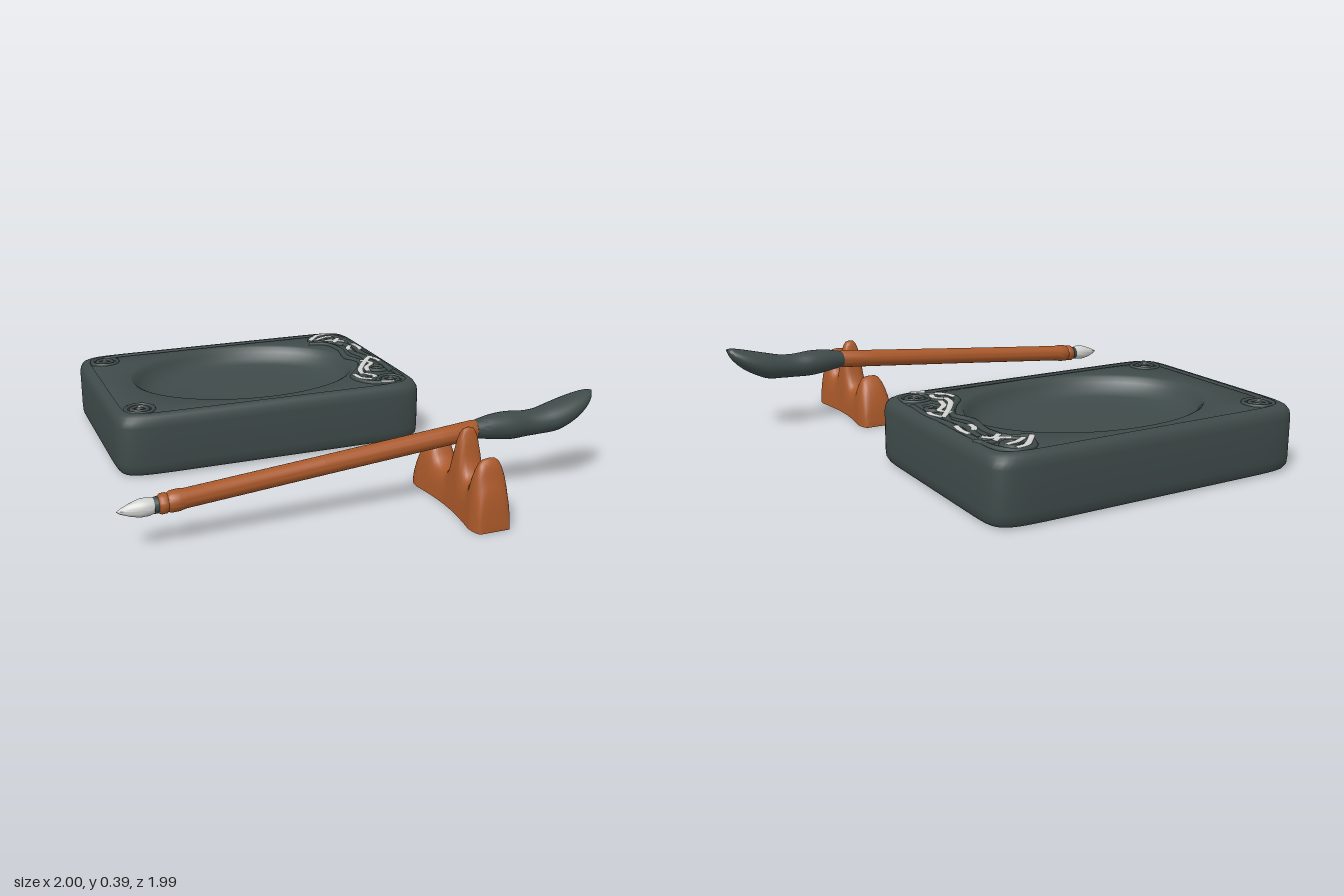
import * as THREE from 'three';
import { toCreasedNormals } from 'three/addons/utils/BufferGeometryUtils.js';

// Skin between closed loops of equal length
function loft(loops, crease = 0.8) {
  const n = loops[0].length, pos = [], idx = [];
  loops.forEach(l => l.forEach(p => pos.push(...p)));
  for (let i = 0; i < loops.length - 1; i++) {
    for (let j = 0; j < n; j++) {
      const a = i * n + j, b = i * n + (j + 1) % n;
      idx.push(a, a + n, b, b, a + n, b + n);
    }
  }
  const g = new THREE.BufferGeometry();
  g.setAttribute('position', new THREE.Float32BufferAttribute(pos, 3));
  g.setIndex(idx);
  return toCreasedNormals(g, crease);
}

const ring = (n, f) => Array.from({ length: n }, (_, j) => f(j / n * Math.PI * 2));

export function createModel() {
  const model = new THREE.Group();
  const mat = (name, color) => {
    const m = new THREE.MeshStandardMaterial({ color });
    m.name = name;
    return m;
  };
  const slate = mat('slate', 0x3e4a49);
  const wood = mat('wood', 0xaa592a);
  const pale = mat('pale', 0xd2d2d0);
  const add = (name, geo, material, parent = model) => {
    const m = new THREE.Mesh(geo, material);
    m.name = name;
    parent.add(m);
    return m;
  };

  // Ink stone: rounded slab, grooved rim and oval basin as one surface
  const CX = -0.14, CZ = -0.495, N = 240;
  const slab = (inset, y) => ring(N, t => {
    const a = 0.71 - inset, b = 0.5 - inset, p = 13;
    const c = Math.cos(t), s = Math.sin(t);
    const r = Math.pow(Math.abs(c) ** p + Math.abs(s) ** p, -1 / p);
    return [CX + a * c * r, y, CZ + b * s * r];
  });
  const oval = (k, y) => ring(N, t => [CX + 0.525 * k * Math.cos(t), y, CZ + 0.4 * k * Math.sin(t)]);
  const stone = new THREE.Group();
  stone.name = 'inkStone';
  model.add(stone);
  add('stoneBody', loft([
    oval(0, 0.004), slab(0.035, 0.004), slab(0.012, 0.012), slab(0.002, 0.03), slab(0, 0.06),
    slab(0, 0.225), slab(0.004, 0.25), slab(0.014, 0.268), slab(0.03, 0.277), slab(0.044, 0.278),
    slab(0.05, 0.266), slab(0.057, 0.266), slab(0.064, 0.273),
    oval(1.03, 0.273), oval(1, 0.266), oval(0.97, 0.245), oval(0.92, 0.215), oval(0.84, 0.195),
    oval(0.7, 0.186), oval(0.4, 0.181), oval(0, 0.18),
  ]), slate, stone);

  // Corner rosettes
  [[-0.73, -0.87], [-0.73, -0.12], [0.45, -0.115]].forEach(([x, z]) => {
    const g = new THREE.Group();
    g.name = 'rosette';
    g.position.set(x, 0.271, z);
    stone.add(g);
    [0.06, 0.034].forEach(r => {
      const m = add('rosetteRing', new THREE.TorusGeometry(r, 0.011, 8, 32), slate, g);
      m.rotation.x = Math.PI / 2;
    });
    add('rosetteBoss', new THREE.SphereGeometry(0.018, 16, 8), slate, g).scale.y = 0.75;
    add('rosetteDot', new THREE.CylinderGeometry(0.008, 0.008, 0.004, 10), pale, g).position.y = 0.0135;
  });

  // Raised scrollwork along the right end, flattened tubes on [x, z] paths
  const scroll = (name, pts, r, y, flat, material) => {
    const path = new THREE.CatmullRomCurve3(pts.map(([x, z]) => new THREE.Vector3(x, 0, z)));
    const m = add(name, new THREE.TubeGeometry(path, 40, r, 8), material, stone);
    m.position.y = y;
    m.scale.y = flat;
  };
  const spiral = (x, z, r, turn, dir) => Array.from({ length: 14 }, (_, i) => {
    const a = turn + dir * i * 0.65, k = r * (1 - i / 16);
    return [x + k * Math.cos(a), z + k * Math.sin(a)];
  });
  [
    [[0.31, -0.8], [0.39, -0.77], [0.42, -0.66], [0.4, -0.52], [0.43, -0.42], [0.37, -0.3], [0.3, -0.2], [0.33, -0.11], [0.43, -0.06]],
    [[0.33, -0.83], [0.37, -0.91], [0.45, -0.93], [0.5, -0.86], [0.51, -0.7], [0.5, -0.55], [0.52, -0.4], [0.51, -0.22]],
    [[0.42, -0.8], [0.48, -0.72], [0.46, -0.58], [0.48, -0.48], [0.43, -0.36], [0.36, -0.24], [0.34, -0.17]],
    spiral(0.42, -0.85, 0.065, 2, 1),
    spiral(0.48, -0.76, 0.045, 0, -1),
    spiral(0.46, -0.3, 0.05, 1, 1),
    spiral(0.36, -0.17, 0.04, 3, -1),
  ].forEach(p => scroll('scrollwork', p, 0.016, 0.272, 0.8, slate));

  // Pale worn highlights on the scrollwork
  [
    [[0.32, -0.82], [0.36, -0.87], [0.4, -0.91], [0.45, -0.92]],
    [[0.36, -0.83], [0.41, -0.86], [0.46, -0.87]],
    [[0.4, -0.81], [0.44, -0.79], [0.48, -0.82]],
    [[0.42, -0.75], [0.46, -0.78], [0.49, -0.75]],
    [[0.48, -0.67], [0.455, -0.63], [0.45, -0.59]],
    [[0.51, -0.7], [0.515, -0.64], [0.505, -0.58]],
    [[0.5, -0.46], [0.45, -0.4], [0.4, -0.33], [0.36, -0.26], [0.35, -0.2]],
    [[0.43, -0.41], [0.46, -0.36], [0.41, -0.3], [0.39, -0.23]],
    [[0.49, -0.45], [0.51, -0.4], [0.51, -0.36]],
    [[0.31, -0.21], [0.32, -0.15], [0.36, -0.12]],
    [[0.36, -0.21], [0.39, -0.17], [0.38, -0.13]],
    [[0.38, -0.07], [0.41, -0.06], [0.44, -0.055]],
  ].forEach(p => scroll('wornHighlight', p, 0.0125, 0.2835, 0.3, pale));

  // Brush: elliptical sections [x, y, half height, half depth]
  const brush = new THREE.Group();
  brush.name = 'brush';
  brush.position.z = 0.655;
  model.add(brush);
  const section = ([x, y, ry, rz]) => ring(28, t => [x, y + ry * Math.sin(t), rz * Math.cos(t)]);
  const rod = (name, rows, material) => add(name, loft(rows.map(section), 1), material, brush);
  rod('endTip', [[-1, 0.166, 0, 0], [-0.985, 0.166, 0.01, 0.01], [-0.95, 0.167, 0.024, 0.024],
    [-0.915, 0.169, 0.034, 0.034], [-0.88, 0.171, 0.035, 0.035], [-0.855, 0.172, 0.028, 0.028], [-0.855, 0.172, 0, 0]], pale);
  rod('ferrule', [[-0.862, 0.171, 0, 0], [-0.862, 0.171, 0.031, 0.031], [-0.838, 0.173, 0.032, 0.032], [-0.838, 0.173, 0, 0]], slate);
  const handleY = x => 0.172 + (x + 0.85) * 0.09;
  rod('handle', [[-0.845, 0], [-0.845, 0.032], [-0.835, 0.039], [-0.815, 0.039], [-0.81, 0.035], [-0.8, 0.041],
    [-0.765, 0.042], [-0.745, 0.038], [-0.2, 0.038], [0.3, 0.039], [0.45, 0.04], [0.458, 0.037], [0.458, 0]]
    .map(([x, r]) => [x, handleY(x), r, r]), wood);
  const bristleKeys = [[0.455, 0.29, 0.036, 0.04], [0.53, 0.291, 0.05, 0.053], [0.61, 0.288, 0.057, 0.061],
    [0.69, 0.286, 0.053, 0.054], [0.75, 0.289, 0.053, 0.062], [0.82, 0.3, 0.058, 0.074], [0.88, 0.32, 0.053, 0.073],
    [0.94, 0.347, 0.041, 0.058], [0.98, 0.372, 0.023, 0.034], [1, 0.391, 0.002, 0.004]];
  const lerpKeys = (keys, steps) => Array.from({ length: steps + 1 }, (_, i) => {
    const pick = k => new THREE.CatmullRomCurve3(keys.map(r => new THREE.Vector3(r[0], r[k], 0))).getPoint(i / steps);
    const p = pick(1);
    return [p.x, p.y, pick(2).y, pick(3).y];
  });
  rod('bristles', [[0.455, 0.29, 0, 0], ...lerpKeys(bristleKeys, 36), [1, 0.392, 0, 0]], slate);

  // Brush rest: three peaks, waisted in plan; arch sections along z
  const ridge = new THREE.CatmullRomCurve3([[0.43, 0.02], [0.445, 0.1], [0.475, 0.175], [0.51, 0.218], [0.53, 0.225],
    [0.555, 0.205], [0.59, 0.155], [0.63, 0.135], [0.67, 0.14], [0.7, 0.185], [0.725, 0.28], [0.745, 0.34], [0.765, 0.348],
    [0.782, 0.31], [0.805, 0.215], [0.83, 0.175], [0.855, 0.167], [0.88, 0.19], [0.905, 0.26], [0.925, 0.28],
    [0.945, 0.262], [0.965, 0.205], [0.985, 0.14], [0.998, 0.02]].map(([z, y]) => new THREE.Vector3(0, y, z)), false, 'centripetal');
  const arch = ({ y: h, z }) => {
    const d = Math.min(1, Math.abs(z - 0.714) / 0.286);
    const base = 0.05 + 0.029 * Math.min(1, d * 1.3) ** 1.6 - 0.018 * d ** 14;
    return ring(32, t => {
      const c = Math.cos(t), s = Math.sin(t);
      const y = 0.004 + (h - 0.004) * Math.max(0, c) ** 0.65;
      const w = (base + 0.01 * (1 - d)) * (1 - 0.5 * y);
      const side = c > 0 ? Math.sign(s) * Math.abs(s) ** 0.6 : s;
      return [0.368 + w * side, y, z];
    });
  };
  const point = z => ring(32, () => [0.368, 0.008, z]);
  add('brushRest', loft([point(0.43), ...ridge.getPoints(110).map(arch), point(0.998)], 0.9), wood);

  return model;
}
